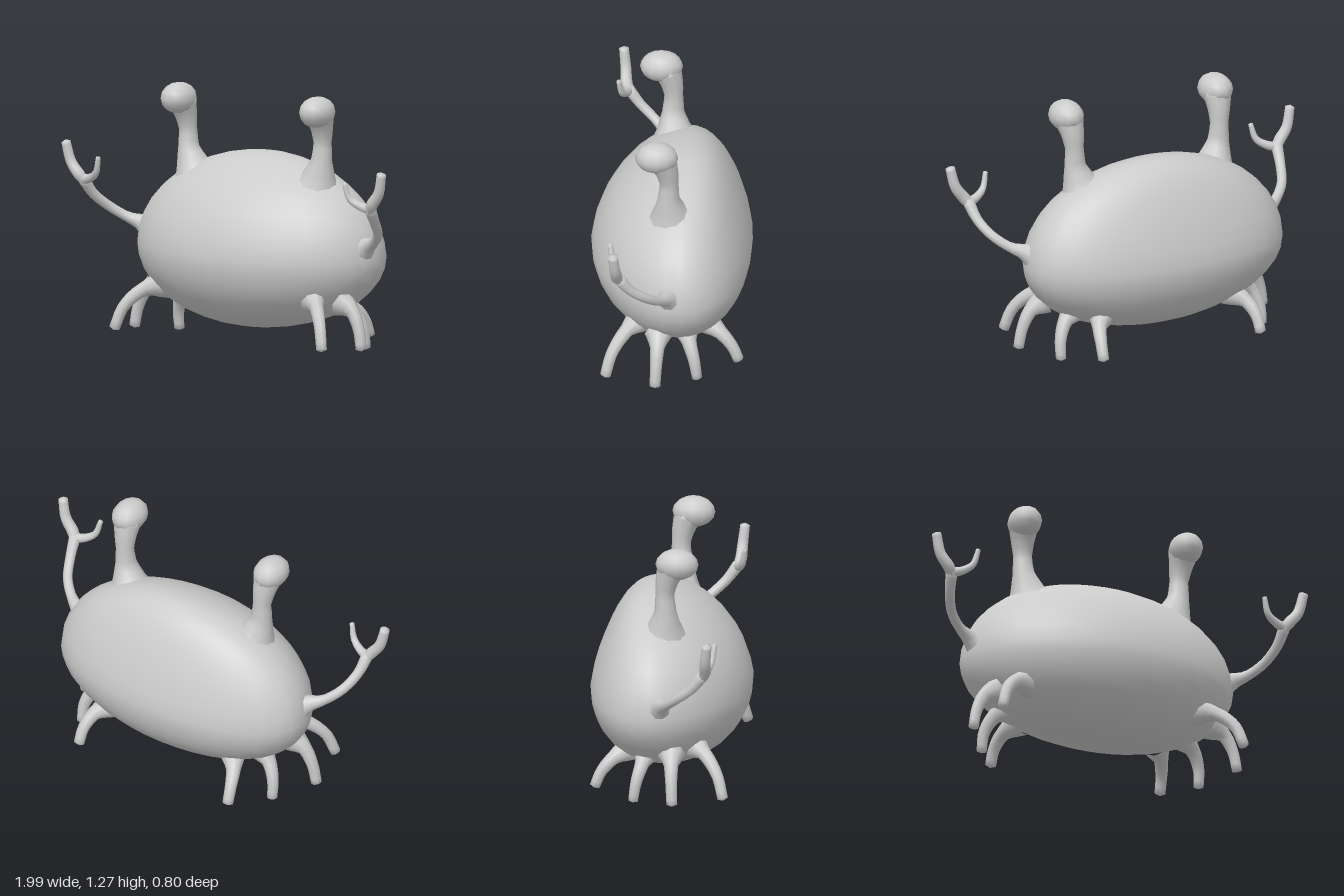
import * as THREE from 'three';
import { mergeVertices } from 'three/addons/utils/BufferGeometryUtils.js';

const material = new THREE.MeshStandardMaterial({ color: 0xcccccc, roughness: 0.8 });

// Smooth limb through stations [x, y, z, radius]; side mirrors it in x
function limb(name, stations, side, rings = 14, sides = 10) {
  const curve = new THREE.CatmullRomCurve3(
    stations.map(([x, y, z]) => new THREE.Vector3(x * side, y, z)));
  const frames = curve.computeFrenetFrames(rings);
  const last = stations.length - 1;
  const positions = [], index = [];
  for (let i = 0; i <= rings; i++) {
    const t = curve.getUtoTmapping(i / rings);
    const k = Math.min(Math.floor(t * last), last - 1);
    const r = THREE.MathUtils.lerp(stations[k][3], stations[k + 1][3], t * last - k);
    const centre = curve.getPoint(t);
    for (let j = 0; j < sides; j++) {
      const a = (j / sides) * Math.PI * 2;
      const p = centre.clone()
        .addScaledVector(frames.normals[i], Math.cos(a) * r)
        .addScaledVector(frames.binormals[i], Math.sin(a) * r);
      positions.push(p.x, p.y, p.z);
      if (i < rings) {
        const n = (j + 1) % sides, b = i * sides;
        index.push(b + j, b + n, b + sides + j, b + n, b + sides + n, b + sides + j);
      }
    }
  }
  // Blunt tip
  const tip = curve.getPoint(1).addScaledVector(frames.tangents[rings], stations[last][3] * 0.4);
  positions.push(tip.x, tip.y, tip.z);
  const end = rings * sides;
  for (let j = 0; j < sides; j++) index.push(end + j, end + (j + 1) % sides, end + sides);

  const geometry = new THREE.BufferGeometry();
  geometry.setAttribute('position', new THREE.Float32BufferAttribute(positions, 3));
  geometry.setIndex(index);
  geometry.computeVertexNormals();
  const mesh = new THREE.Mesh(geometry, material);
  mesh.name = name;
  return mesh;
}

// Wide egg: narrower towards the top, crown leaning back, ends swept back
function createBody() {
  let geometry = new THREE.SphereGeometry(1, 32, 20);
  geometry.deleteAttribute('uv');
  geometry.deleteAttribute('normal');
  geometry = mergeVertices(geometry, 1e-4);
  const pos = geometry.attributes.position;
  for (let i = 0; i < pos.count; i++) {
    const x = pos.getX(i), y = pos.getY(i), z = pos.getZ(i);
    const up = Math.max(y, 0);
    pos.setXYZ(i,
      x * 0.71,
      0.47 + y * (y > 0 ? 0.49 : 0.38),
      z * 0.4 * (1 - 0.16 * up) - 0.09 * up ** 3 - 0.06 * x * x);
  }
  geometry.computeVertexNormals();
  const body = new THREE.Mesh(geometry, material);
  body.name = 'body';
  return body;
}

const EYE_STALK = [
  [0.36, 0.78, -0.01, 0.14], [0.39, 0.87, 0, 0.085], [0.41, 0.95, 0.005, 0.055],
  [0.415, 1.04, 0.003, 0.046], [0.42, 1.12, 0.015, 0.058], [0.425, 1.19, 0.04, 0.075],
];
const ARM = [
  [0.63, 0.51, -0.01, 0.085], [0.7, 0.55, 0.01, 0.04], [0.76, 0.575, 0.04, 0.025],
  [0.83, 0.63, 0.1, 0.024], [0.87, 0.7, 0.18, 0.025], [0.885, 0.78, 0.24, 0.03],
];
const LONG_CLAW = [
  [0.88, 0.765, 0.235, 0.026], [0.905, 0.8, 0.25, 0.03],
  [0.95, 0.86, 0.255, 0.027], [0.975, 0.96, 0.265, 0.024],
];
const SHORT_CLAW = [
  [0.885, 0.775, 0.24, 0.026], [0.84, 0.785, 0.25, 0.022],
  [0.785, 0.82, 0.27, 0.017], [0.76, 0.9, 0.285, 0.012],
];
// Legs from front to back
const LEGS = [
  [[0.45, 0.28, 0.14, 0.075], [0.53, 0.255, 0.21, 0.036], [0.605, 0.17, 0.28, 0.029], [0.64, 0.06, 0.312, 0.027]],
  [[0.57, 0.26, 0.05, 0.07], [0.635, 0.225, 0.055, 0.036], [0.68, 0.14, 0.06, 0.029], [0.7, 0.04, 0.065, 0.027]],
  [[0.46, 0.24, -0.08, 0.07], [0.53, 0.19, -0.1, 0.036], [0.57, 0.11, -0.125, 0.029], [0.577, 0.015, -0.14, 0.025]],
  [[0.36, 0.22, -0.17, 0.07], [0.42, 0.185, -0.25, 0.036], [0.445, 0.12, -0.31, 0.029], [0.45, 0.045, -0.342, 0.027]],
];

export function createModel() {
  const model = new THREE.Group();
  model.name = 'crabCreature';
  model.add(createBody());

  for (const [label, side] of [['left', 1], ['right', -1]]) {
    // Eye on its stalk, leaning forward
    const eye = new THREE.Group();
    eye.name = label + 'Eye';
    const head = new THREE.Mesh(new THREE.SphereGeometry(1, 12, 8), material);
    head.name = 'eyeball';
    head.scale.set(0.083, 0.078, 0.107);
    head.position.set(0.428 * side, 1.202, 0.064);
    eye.add(limb('eyeStalk', EYE_STALK, side), head);

    // Arm ending in a two-pronged claw
    const arm = new THREE.Group();
    arm.name = label + 'Arm';
    arm.add(limb('arm', ARM, side), limb('longClaw', LONG_CLAW, side), limb('shortClaw', SHORT_CLAW, side));

    // Four short curved legs
    const legs = new THREE.Group();
    legs.name = label + 'Legs';
    LEGS.forEach((stations, i) => legs.add(limb('leg' + (i + 1), stations, side, 10, 8)));

    model.add(eye, arm, legs);
  }
  return model;
}
